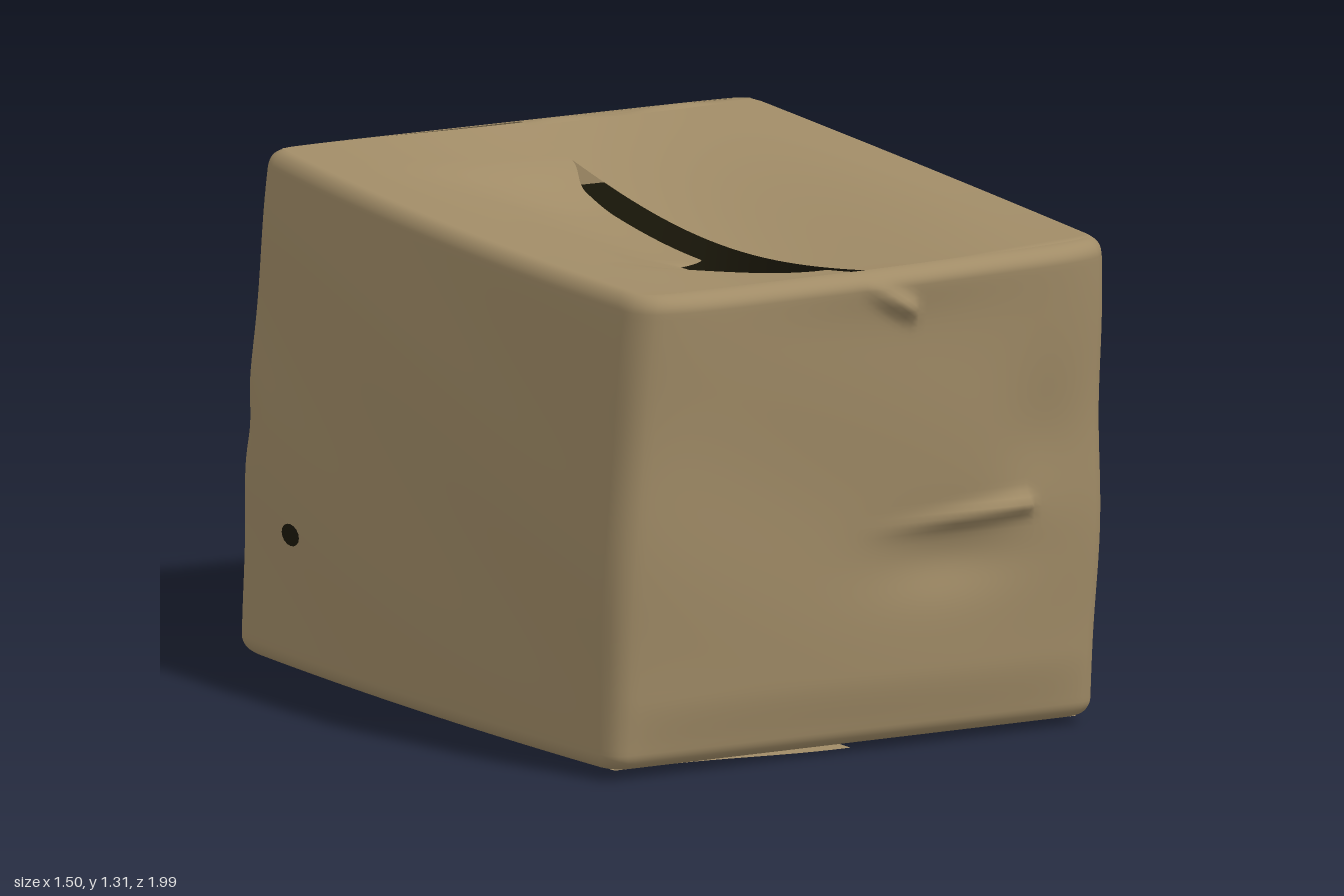
import * as THREE from 'three';
import { mergeVertices } from 'three/addons/utils/BufferGeometryUtils.js';

const lerp = THREE.MathUtils.lerp;
const smooth = THREE.MathUtils.smoothstep;
const gauss = (d, w) => Math.exp(-(d * d) / (w * w));

// The eight corners of the leaning box: [x, y, z]
const corners = {
  bottomBack: [[-0.71, 0.03, -0.985], [0.685, 0.02, -0.945]],
  bottomFront: [[-0.705, 0.035, 0.815], [0.71, 0.03, 0.835]],
  topBack: [[-0.63, 1.315, -0.98], [0.745, 1.32, -0.875]],
  topFront: [[-0.67, 1.265, 0.885], [0.685, 1.28, 0.925]],
};

// Maps a (left to right, -1..1), v (height, 0..1), c (back to front, -1..1) to space
function hull(a, v, c) {
  const u = (a + 1) / 2, w = (c + 1) / 2;
  const mix = (k) => {
    const edge = (name) => lerp(corners[name][0][k], corners[name][1][k], u);
    return lerp(lerp(edge('bottomBack'), edge('bottomFront'), w), lerp(edge('topBack'), edge('topFront'), w), v);
  };
  const p = new THREE.Vector3(mix(0), mix(1), mix(2));
  const side = 1 - c * c, belly = 4 * v * (1 - v), face = 1 - a ** 8;
  // bulging sides, front and back
  p.x += a * (0.03 * side + lerp(0.02, 0.012, u) * belly);
  p.x += 0.004 * a * Math.sin(9 * p.y + 4 * p.z) * belly;
  p.z += face * Math.max(0, c) ** 4 * (0.04 * v + 0.02 * smooth(v, 0, 0.15));
  p.z -= face * Math.max(0, -c) ** 4 * 0.018;
  p.z += 0.004 * c * Math.sin(5 * p.x + 8 * p.y) * belly;
  p.y -= 0.01 * side * v;
  return p;
}

// Creases and dents of the front and back walls
function dents(p, c) {
  const { x, y } = p;
  if (c > 0.9) {
    const along = smooth(x, -0.05, 0.45) * (1 - smooth(x, 0.46, 0.49));
    const ridgeY = 0.59 + 0.08 * Math.max(0, x) ** 1.3;
    p.z += 0.03 * along * gauss(y - ridgeY, 0.024);
    p.z -= 0.025 * gauss(x - 0.25, 0.2) * gauss(y - 0.5, 0.09);
    p.z -= 0.02 * gauss(x - 0.5, 0.12) * gauss(y - 0.78, 0.17);
    // small folded tab below the top edge
    const fold = 1.2 - 0.5 * (x - 0.02);
    p.z += 0.03 * smooth(x, -0.07, 0.06) * (1 - smooth(x, 0.08, 0.11)) * gauss(y - fold, 0.028);
    p.z += 0.012 * gauss(x - 0.05, 0.3) * gauss(y - 1.25, 0.08);
  } else if (c < -0.9) {
    p.z += 0.015 * gauss(x + 0.4, 0.2) * gauss(y - 0.4, 0.16);
    p.z += 0.012 * gauss(x - 0.45, 0.18) * gauss(y - 0.62, 0.12);
    p.z += 0.02 * gauss(x + 0.68, 0.14) * gauss(y - 0.62, 0.08);
  }
  return p;
}

// Smooth grid surface from a rule f(s, t) with s, t in 0..1
function surface(name, nu, nv, f, material) {
  const pos = [], index = [];
  for (let j = 0; j <= nv; j++)
    for (let i = 0; i <= nu; i++) {
      const p = f(i / nu, j / nv);
      pos.push(p.x, p.y, p.z);
      if (i < nu && j < nv) {
        const k = j * (nu + 1) + i, m = k + nu + 1;
        index.push(k, k + 1, m, k + 1, m + 1, m);
      }
    }
  let geo = new THREE.BufferGeometry();
  geo.setAttribute('position', new THREE.Float32BufferAttribute(pos, 3));
  geo.setIndex(index);
  geo = mergeVertices(geo, 1e-5);
  geo.computeVertexNormals();
  const mesh = new THREE.Mesh(geo, material);
  mesh.name = name;
  return mesh;
}

// Rounded square outline, counter-clockwise
function outline(r, n) {
  const s = new THREE.Shape(), q = Math.PI / 2, d = 1 - r;
  [[-d, -d, 2], [d, -d, 3], [d, d, 0], [-d, d, 1]].forEach(([x, y, k]) => s.absarc(x, y, r, k * q, (k + 1) * q));
  s.closePath();
  return s.getSpacedPoints(n);
}

// Wall profile: curls inward at the bottom and top edges
function profile(t) {
  const R = 0.05, H = 0.035;
  const curl = (k) => [R * (1 - Math.sin(k * Math.PI / 2)), H * (1 - Math.cos(k * Math.PI / 2))];
  if (t < 0.1) return curl(t / 0.1);
  if (t > 0.9) { const [i, h] = curl((1 - t) / 0.1); return [i, 1 - h]; }
  return [0, lerp(H, 1 - H, (t - 0.1) / 0.8)];
}

// Across-the-top coordinate that lands on a given x
function across(x, c) {
  const l = hull(-1, 1, c).x, r = hull(1, 1, c).x;
  return 2 * (x - l) / (r - l) - 1;
}

// Top seam between the flaps, the slit along it and the torn notch beside it
const seam = (z) => lerp(0.075, 0.03, smooth(z, -0.75, 0.5));
const open = (z) => smooth(z, -0.7, -0.35) * (1 - smooth(z, 0.5, 0.66));
const slit = (z) => -0.012 + 0.056 * smooth(z, -0.69, -0.5) * (1 - smooth(z, 0.5, 0.64));
const notch = (z) => (0.105 + 0.012 * Math.sin(z * 110)) * smooth(z, 0.12, 0.2) * (1 - smooth(z, 0.25, 0.35));
const sag = (z) => Math.max(0, 1 - ((z - 0.03) / 0.94) ** 2);

export function createModel() {
  const group = new THREE.Group();
  group.name = 'cardboardBox';
  const cardboard = new THREE.MeshStandardMaterial({ color: 0xa18c67, side: THREE.DoubleSide });
  cardboard.name = 'cardboard';
  const dark = new THREE.MeshStandardMaterial({ color: 0x1c190b, side: THREE.DoubleSide });
  dark.name = 'darkInside';

  // Four walls in one rounded band
  const N = 240, ring = outline(0.06, N);
  group.add(surface('walls', N, 90, (s, t) => {
    const o = ring[Math.round(s * N)], [inset, v] = profile(t);
    const a = o.x * (1 - inset), c = -o.y * (1 - inset);
    return dents(hull(a, v, c), c);
  }, cardboard));

  // Top flaps, sinking towards the seam; the left one tucks under the right one
  group.add(surface('topLeftFlap', 48, 140, (s, t) => {
    const c = lerp(0.955, -0.955, t), z = c * 0.95;
    const edge = seam(z) - slit(z), x = lerp(hull(-0.95, 1, c).x, edge, s);
    const p = hull(across(x - notch(z) * s ** 10, c), 1, c);
    p.y -= smooth(s, 0.1, 1) * (0.1 * sag(z) + 0.03 * open(z) + 0.004);
    return p;
  }, cardboard));
  group.add(surface('topRightFlap', 30, 80, (s, t) => {
    const c = lerp(0.97, -0.97, t), z = c * 0.95;
    const p = hull(lerp(across(seam(z), c), 0.95, s), 1, c);
    p.y += 0.004 * (1 - s) - (1 - smooth(s, 0, 0.85)) * 0.1 * sag(z);
    p.y -= 0.015 * smooth(Math.abs(c), 0.945, 0.97);
    return p;
  }, cardboard));

  // Bottom flaps: the left one hangs slightly lower along the seam
  group.add(surface('bottomLeftFlap', 20, 40, (s, t) => {
    const p = hull(lerp(-0.95, 0.02, s), 0, lerp(-0.955, 0.955, t));
    p.y -= 0.013 * smooth(s, 0.2, 0.95);
    return p;
  }, cardboard));
  group.add(surface('bottomRightFlap', 20, 40, (s, t) => {
    const p = hull(lerp(-0.02, 0.95, s), 0, lerp(-0.955, 0.955, t));
    p.y += 0.012 * (1 - smooth(s, 0, 0.3));
    return p;
  }, cardboard));

  // Folded lip along the back top edge
  group.add(surface('backLip', 30, 6, (s, t) => {
    const c = lerp(-0.9, -0.985, t);
    const p = hull(lerp(across(0.08, c), 0.88, s), 1, c);
    p.y += 0.01 * Math.sin(t * Math.PI) * (0.6 + 0.4 * Math.sin(s * 11)) - 0.025 * t * t;
    return p;
  }, cardboard));

  // Dark lining seen through the opening
  const inner = outline(0.07, 40);
  group.add(surface('wallLining', 40, 8, (s, t) => {
    const o = inner[Math.round(s * 40)];
    return hull(o.x * 0.95, lerp(0.02, 0.86, t), -o.y * 0.95);
  }, dark));
  group.add(surface('floorLining', 8, 8, (s, t) => hull(lerp(-0.95, 0.95, s), 0.02, lerp(0.95, -0.95, t)), dark));

  // Small puncture in the left-hand wall, following its bulge
  group.add(surface('puncture', 16, 3, (s, t) => {
    const k = s * Math.PI * 2;
    const y = 0.028 * t * Math.sin(k), z = 0.047 * t * Math.cos(k);
    const p = hull(-1, 0.275 + y / 1.28, -0.68 + z / 0.93);
    p.x -= 0.004;
    return p;
  }, dark));

  return group;
}
